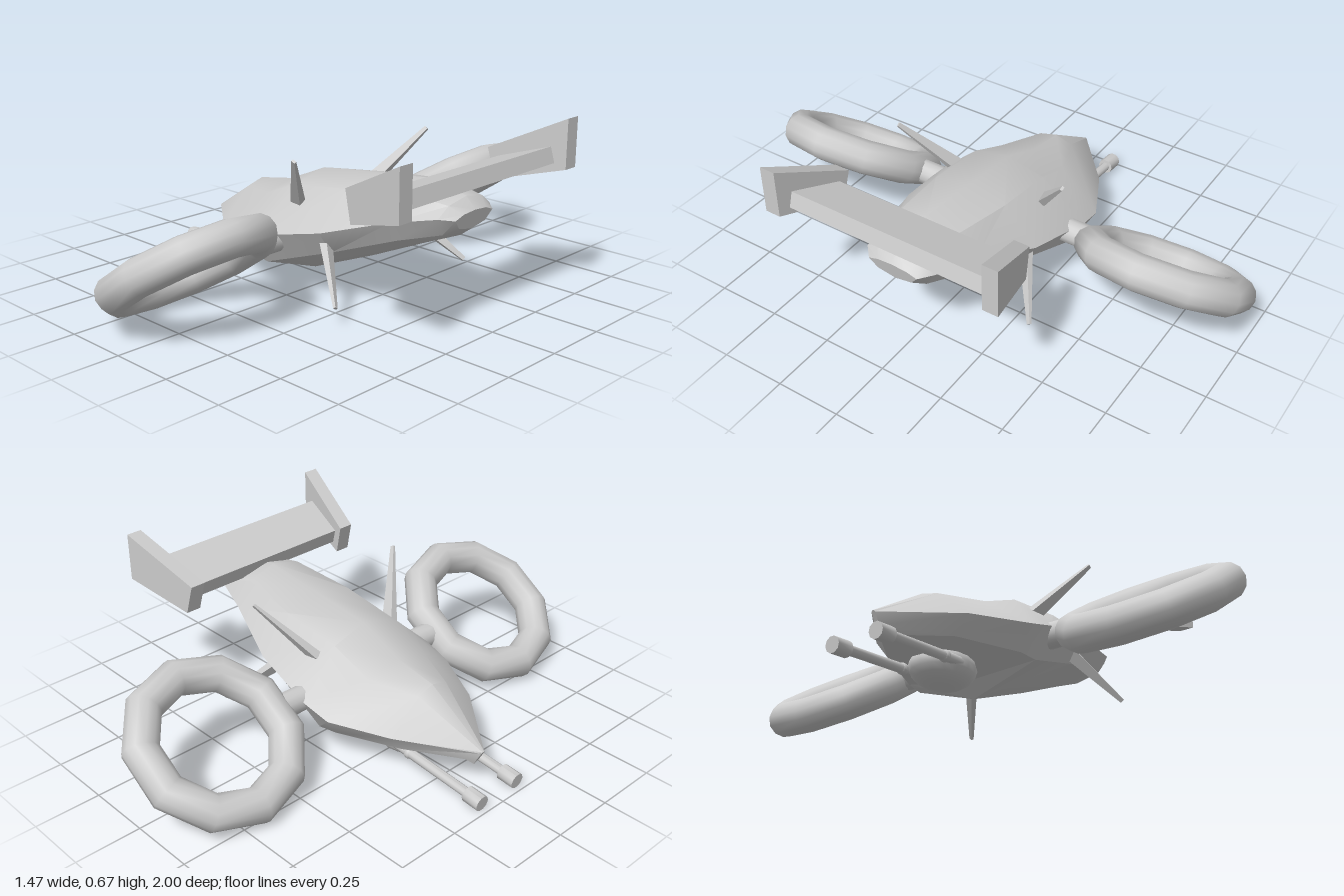
import * as THREE from 'three';
import { toCreasedNormals } from 'three/addons/utils/BufferGeometryUtils.js';

const grey = new THREE.MeshStandardMaterial({ color: 0xcccccc });

function part(name, geometry, parent) {
  const mesh = new THREE.Mesh(geometry, grey);
  mesh.name = name;
  parent.add(mesh);
  return mesh;
}

// Tapered rod from point a to point b
function rod(name, a, b, r1, r2, sides, parent, flatten = 1) {
  const from = new THREE.Vector3(...a), to = new THREE.Vector3(...b);
  const dir = to.clone().sub(from);
  const geo = new THREE.CylinderGeometry(r2, r1, dir.length(), sides);
  if (sides === 4) geo.rotateY(Math.PI / 4);
  geo.scale(1, 1, flatten);
  const mesh = part(name, toCreasedNormals(geo, 0.9), parent);
  mesh.position.copy(from).add(to).multiplyScalar(0.5);
  mesh.quaternion.setFromUnitVectors(new THREE.Vector3(0, 1, 0), dir.normalize());
  return mesh;
}

// Hull sections: xTop, xKeel, ridge y, shoulder z y, side z y, chine z y, keel y
const sections = [
  [-0.65, -0.61, 0.168, 0.004, 0.167, 0.008, 0.162, 0.008, 0.12, 0.095],
  [-0.40, -0.40, 0.33, 0.07, 0.31, 0.205, 0.195, 0.15, 0.125, 0.095],
  [-0.23, -0.15, 0.36, 0.14, 0.33, 0.31, 0.21, 0.25, 0.125, 0.08],
  [-0.05, -0.10, 0.437, 0.15, 0.40, 0.32, 0.24, 0.26, 0.12, 0.03],
  [0.20, 0.20, 0.465, 0.15, 0.435, 0.28, 0.30, 0.22, 0.215, 0.15],
  [0.46, 0.44, 0.497, 0.12, 0.465, 0.19, 0.375, 0.15, 0.30, 0.255],
  [0.62, 0.60, 0.465, 0.09, 0.448, 0.14, 0.41, 0.10, 0.345, 0.322],
  [0.66, 0.645, 0.425, 0.06, 0.42, 0.10, 0.405, 0.07, 0.37, 0.355],
];

function hullGeometry() {
  const pos = [], idx = [], n = 8;
  for (const [xt, xk, ty, sz, sy, wz, wy, cz, cy, ky] of sections) {
    const ring = [[0, ty], [sz, sy], [wz, wy], [cz, cy], [0, ky], [-cz, cy], [-wz, wy], [-sz, sy]];
    for (const [z, y] of ring) pos.push(xt + (xk - xt) * (ty - y) / (ty - ky), y, z);
  }
  const last = (sections.length - 1) * n;
  for (let s = 0; s < last; s += n) {
    for (let j = 0; j < n; j++) {
      const a = s + j, b = s + (j + 1) % n;
      idx.push(a, b, a + n, b, b + n, a + n);
    }
  }
  for (let j = 1; j < n - 1; j++) {
    idx.push(0, j + 1, j);
    idx.push(last, last + j, last + j + 1);
  }
  const geo = new THREE.BufferGeometry();
  geo.setAttribute('position', new THREE.Float32BufferAttribute(pos, 3));
  geo.setIndex(idx);
  return toCreasedNormals(geo, 0.6);
}

// End plate of the tail wing, splayed outward towards the back
function finGeometry(side) {
  const shape = new THREE.Shape([[0.475, 0.425], [0.735, 0.495], [0.735, 0.68], [0.445, 0.54]]
    .map(([x, y]) => new THREE.Vector2(x, y)));
  const geo = new THREE.ExtrudeGeometry(shape, { depth: 0.06, bevelEnabled: false });
  const p = geo.attributes.position;
  for (let i = 0; i < p.count; i++) {
    const splay = 0.375 + (p.getX(i) - 0.445) * 0.24;
    p.setZ(i, p.getZ(i) - 0.03 + side * splay);
  }
  geo.computeVertexNormals();
  return geo;
}

export function createModel() {
  const model = new THREE.Group();
  model.name = 'hoverCraft';
  part('hull', hullGeometry(), model);

  // Tail wing
  const wing = part('tailWing', new THREE.BoxGeometry(0.2, 0.06, 0.8), model);
  wing.position.set(0.592, 0.515, 0);
  wing.rotation.z = 0.3;

  // Gun turret under the nose
  const turret = part('turret', new THREE.SphereGeometry(1, 16, 10), model);
  turret.scale.set(0.13, 0.075, 0.115);
  turret.position.set(-0.28, 0.085, 0);

  for (const side of [1, -1]) {
    const tag = side > 0 ? 'left' : 'right';
    const at = (x, y, z) => [x, y, z * side];

    part(tag + 'TailFin', finGeometry(side), model);

    // Lift ring and its strut
    const ringGeo = new THREE.TorusGeometry(0.27, 0.067, 12, 10);
    ringGeo.rotateX(Math.PI / 2);
    const ring = part(tag + 'LiftRing', ringGeo, model);
    ring.position.set(-0.025, 0.2275, 0.68 * side);
    ring.rotation.z = 0.595;
    rod(tag + 'RingStrut', at(-0.025, 0.228, 0.24), at(-0.025, 0.228, 0.385), 0.048, 0.048, 12, model);

    // Upper and lower blades
    rod(tag + 'UpperBlade', at(0.005, 0.35, 0.19), at(0.15, 0.563, 0.35), 0.036, 0.011, 4, model, 0.6);
    rod(tag + 'LowerBlade', at(0.165, 0.27, 0.215), at(0.348, 0.083, 0.35), 0.036, 0.011, 4, model, 0.6);

    // Gun barrel and muzzle
    rod(tag + 'GunBarrel', at(-0.3, 0.082, 0.093), at(-0.68, 0.045, 0.093), 0.018, 0.018, 10, model);
    rod(tag + 'GunMuzzle', at(-0.665, 0.046, 0.093), at(-0.733, 0.039, 0.093), 0.03, 0.03, 10, model);
    const socket = part(tag + 'GunSocket', new THREE.SphereGeometry(0.022, 10, 8), model);
    socket.position.set(-0.385, 0.073, 0.093 * side);
  }
  return model;
}
